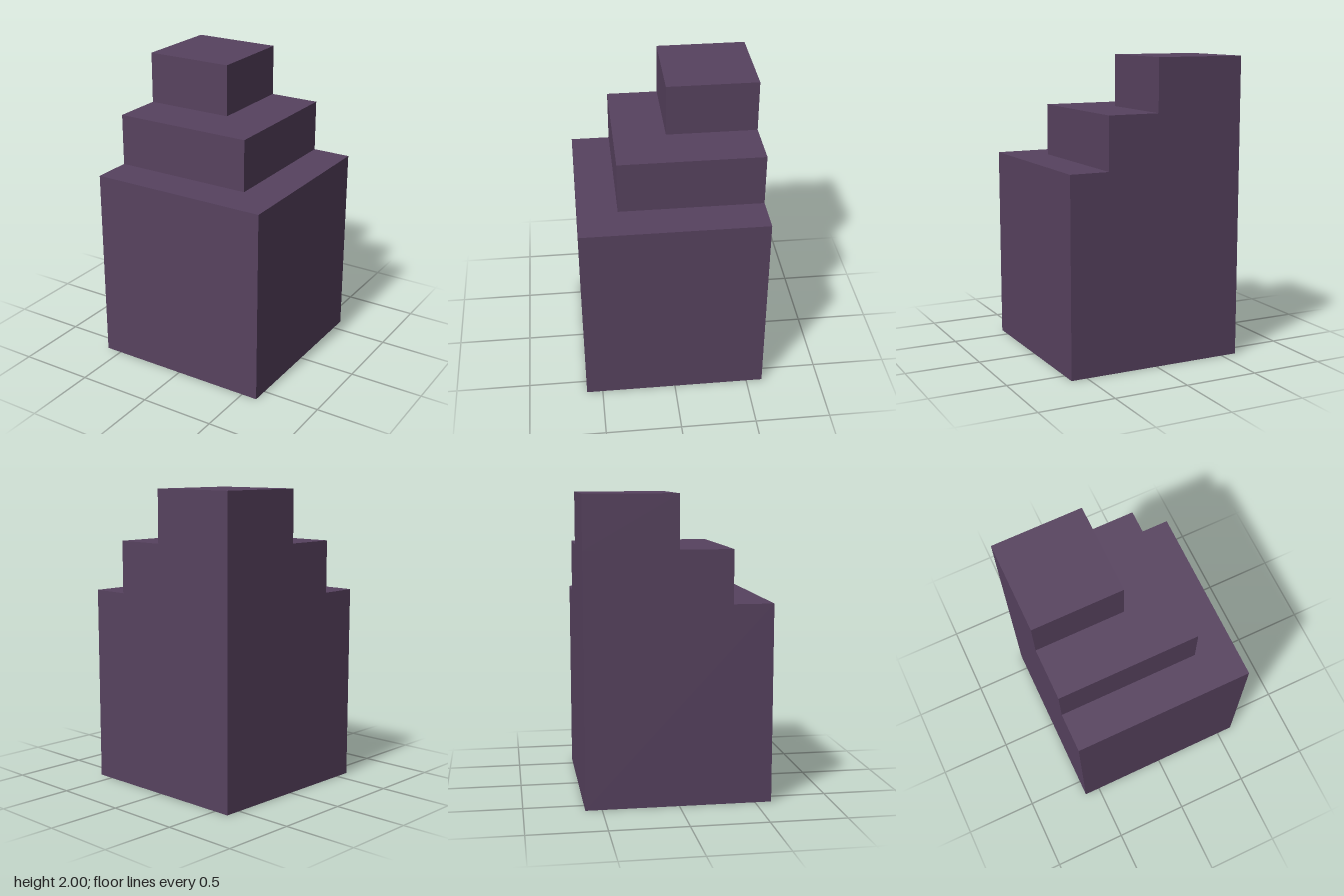
import * as THREE from 'three';

export function createModel() {
  const group = new THREE.Group();
  group.name = 'steppedTower';
  const purple = new THREE.MeshStandardMaterial({ color: 0x57425f });
  purple.name = 'dusky purple';

  // Square tiers share the back (-z) and -x corner and step in towards it
  const corner = -0.608;
  const tiers = [
    ['baseBlock', 1.216, 0, 1.305],
    ['middleStep', 0.953, 1.305, 1.653],
    ['topStep', 0.606, 1.653, 2],
  ];
  for (const [name, width, bottom, top] of tiers) {
    const tier = new THREE.Mesh(new THREE.BoxGeometry(width, top - bottom, width), purple);
    tier.name = name;
    tier.position.set(corner + width / 2, (bottom + top) / 2, corner + width / 2);
    group.add(tier);
  }
  return group;
}
